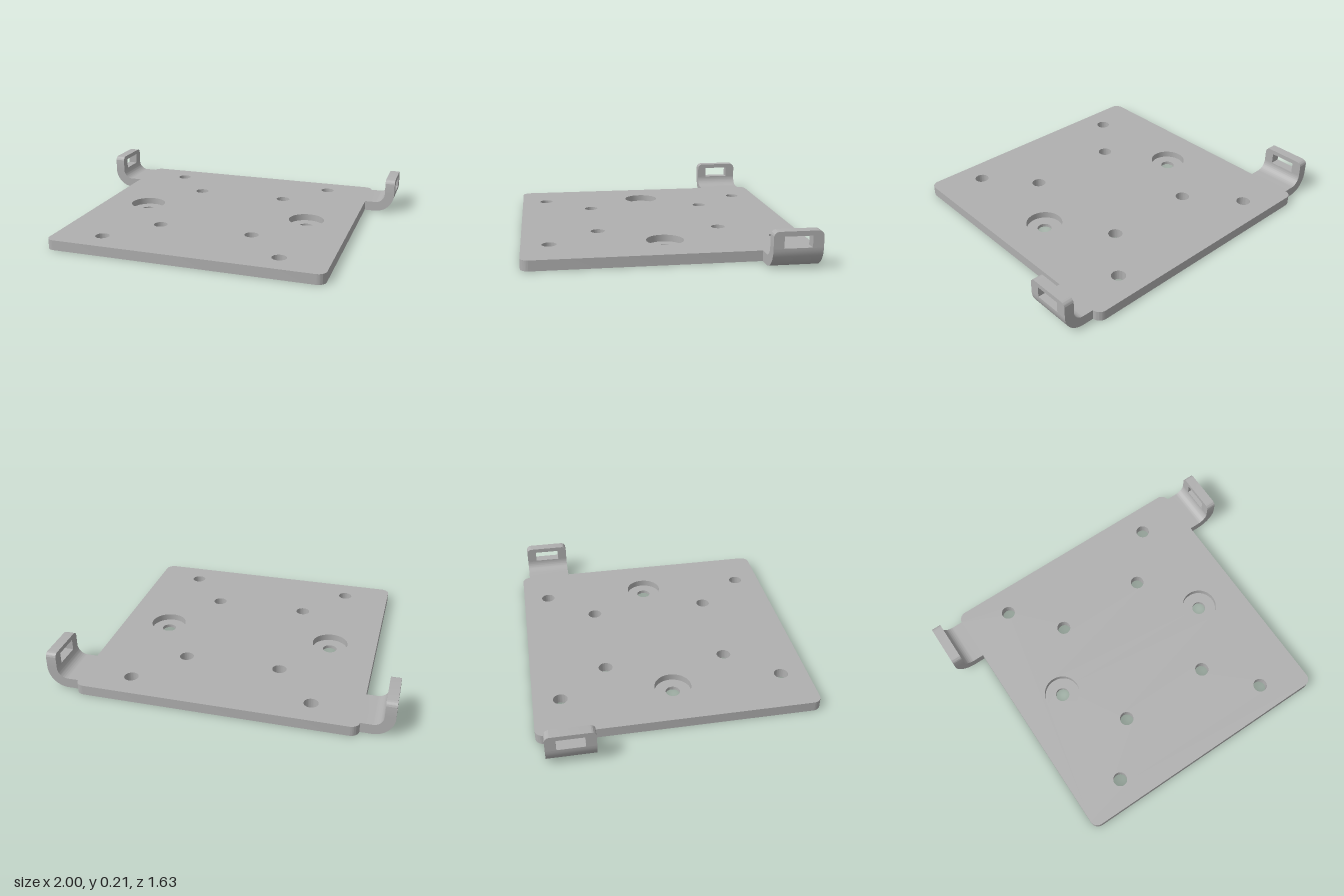
import * as THREE from 'three';
import { toCreasedNormals } from 'three/addons/utils/BufferGeometryUtils.js';

const HALF = 0.815, THICK = 0.06, CORNER = 0.05;
const HOLE_R = 0.042, BORE_R = 0.108, BORE_FLOOR = 0.02;
const EAR_BACK = 0.768, EAR_FRONT = 0.495, EAR_TOP = 0.214, BEND_R = 0.12;

const metal = new THREE.MeshStandardMaterial({ color: 0xb0b0b0 });
metal.name = 'grey metal';

function circle(x, y, r, Type = THREE.Path) {
  const c = new Type();
  c.absarc(x, y, r, 0, Math.PI * 2, false);
  return c;
}

function extrude(shape, depth) {
  const g = new THREE.ExtrudeGeometry(shape, { depth, bevelEnabled: false, curveSegments: 24 });
  return toCreasedNormals(g, 0.6);
}

function part(name, geometry) {
  const mesh = new THREE.Mesh(geometry, metal);
  mesh.name = name;
  return mesh;
}

// Square plate with rounded corners, through holes and two wide bores
function basePlate() {
  const s = new THREE.Shape();
  const k = HALF - CORNER;
  s.absarc(k, k, CORNER, 0, Math.PI / 2, false);
  s.absarc(-k, k, CORNER, Math.PI / 2, Math.PI, false);
  s.absarc(-k, -k, CORNER, Math.PI, Math.PI * 1.5, false);
  s.absarc(k, -k, CORNER, Math.PI * 1.5, Math.PI * 2, false);
  s.closePath();
  for (const sx of [-1, 1]) {
    for (const sz of [-1, 1]) {
      s.holes.push(circle(sx * 0.53, sz * 0.656, HOLE_R));
      s.holes.push(circle(sx * 0.287, sz * 0.365, HOLE_R));
    }
    s.holes.push(circle(sx * 0.53, 0, BORE_R));
  }
  return extrude(s, THICK).rotateX(-Math.PI / 2);
}

// Thin floor of a counterbore, with its through hole
function boreFloor(x) {
  const s = circle(x, 0, BORE_R, THREE.Shape);
  s.holes.push(circle(x, 0, HOLE_R));
  return extrude(s, BORE_FLOOR).rotateX(-Math.PI / 2);
}

// Quarter bend that carries the plate up into the ear
function earBend(side) {
  const cx = 1 - BEND_R, n = 16;
  const pts = [new THREE.Vector2(side * HALF, 0)];
  const arc = (r, i) => {
    const a = (i / n) * Math.PI / 2;
    pts.push(new THREE.Vector2(side * (cx + r * Math.sin(a)), BEND_R - r * Math.cos(a)));
  };
  for (let i = 0; i <= n; i++) arc(BEND_R, i);
  for (let i = n; i >= 0; i--) arc(BEND_R - THICK, i);
  pts.push(new THREE.Vector2(side * HALF, THICK));
  return extrude(new THREE.Shape(pts), EAR_BACK - EAR_FRONT).translate(0, 0, -EAR_BACK);
}

// Upright with rounded top corners and a rectangular slot
function earUpright(side) {
  const r = 0.03;
  const s = new THREE.Shape();
  s.moveTo(EAR_FRONT, BEND_R);
  s.lineTo(EAR_BACK, BEND_R);
  s.absarc(EAR_BACK - r, EAR_TOP - r, r, 0, Math.PI / 2, false);
  s.absarc(EAR_FRONT + r, EAR_TOP - r, r, Math.PI / 2, Math.PI, false);
  s.closePath();
  s.holes.push(new THREE.Path([
    new THREE.Vector2(0.553, 0.122), new THREE.Vector2(0.553, 0.187),
    new THREE.Vector2(0.708, 0.187), new THREE.Vector2(0.708, 0.122),
  ]));
  const x = side > 0 ? 1 - THICK : -1;
  return extrude(s, THICK).rotateY(Math.PI / 2).translate(x, 0, 0);
}

export function createModel() {
  const model = new THREE.Group();
  model.name = 'mountingPlate';
  model.add(part('basePlate', basePlate()));
  for (const [label, side] of [['left', 1], ['right', -1]]) {
    model.add(part(label + 'BoreFloor', boreFloor(side * 0.53)));
    const ear = new THREE.Group();
    ear.name = label + 'Ear';
    ear.add(part(label + 'EarBend', earBend(side)));
    ear.add(part(label + 'EarUpright', earUpright(side)));
    model.add(ear);
  }
  return model;
}
